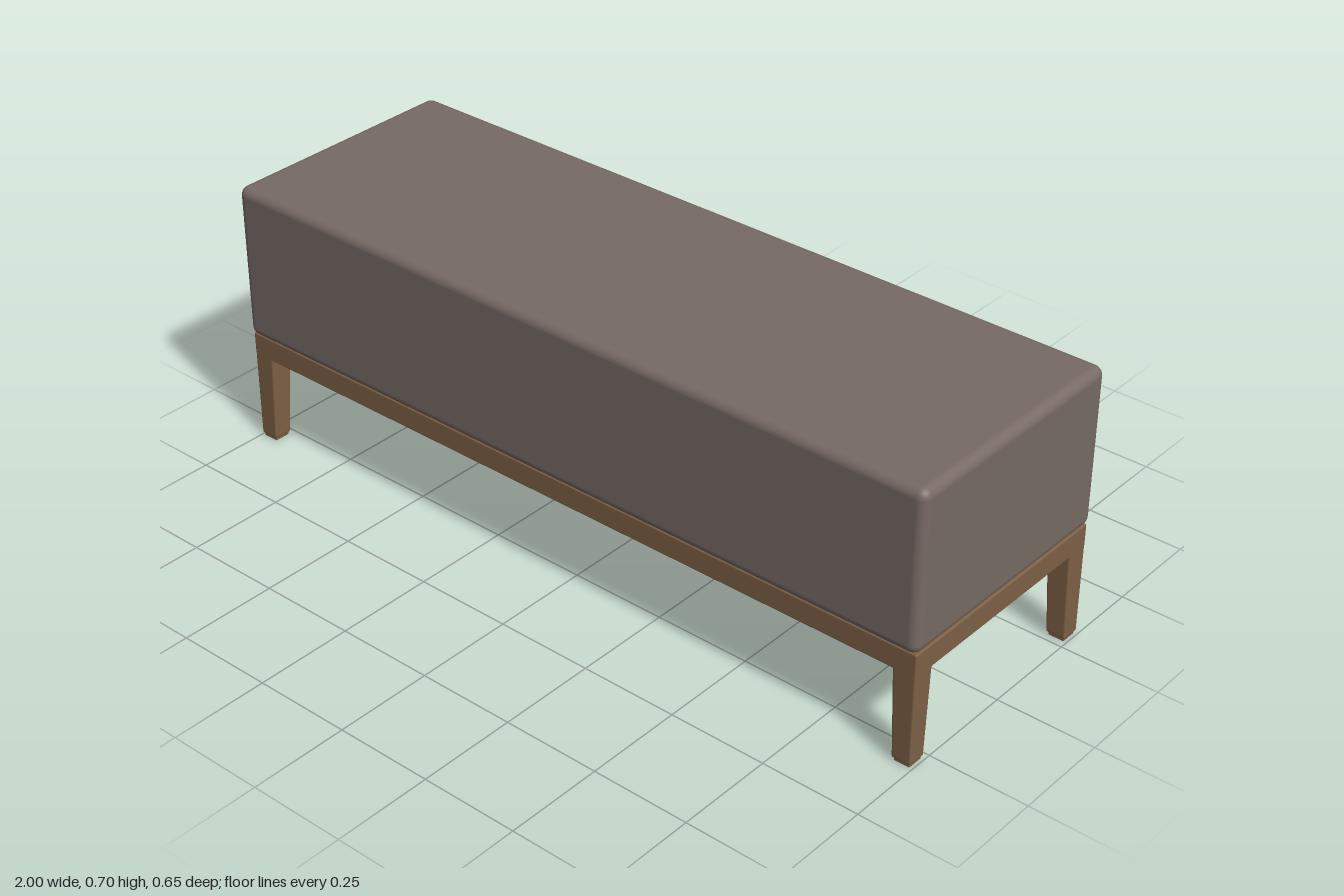
import * as THREE from 'three';
import { RoundedBoxGeometry } from 'three/addons/geometries/RoundedBoxGeometry.js';

const fabric = new THREE.MeshStandardMaterial({ name: 'taupe fabric', color: 0x776a64 });
const wood = new THREE.MeshStandardMaterial({ name: 'brown wood', color: 0x7d6045 });

const FRAME_X = 0.996, FRAME_Z = 0.315; // outer half sizes of the wooden base

function add(parent, name, geometry, material, x, y, z) {
  const mesh = new THREE.Mesh(geometry, material);
  mesh.name = name;
  mesh.position.set(x, y, z);
  parent.add(mesh);
  return mesh;
}

// Upholstered block whose sides swell very slightly towards the middle
function cushionGeometry() {
  const geometry = new RoundedBoxGeometry(2, 0.405, 0.65, 5, 0.024);
  return geometry;
}

// Leg with straight outer faces (+x, +z) and inner faces tapering to the floor
function legGeometry(sx, sz) {
  const height = 0.24, top = 0.06, bottom = 0.049;
  const geometry = new RoundedBoxGeometry(top, height, top, 3, 0.005);
  const p = geometry.attributes.position;
  for (let i = 0; i < p.count; i++) {
    const t = p.getY(i) / height + 0.5;
    const scale = THREE.MathUtils.lerp(bottom / top, 1, t);
    const taper = (v, s) => s * (top / 2 - (top / 2 - v * s) * scale);
    p.setX(i, taper(p.getX(i), sx));
    p.setZ(i, taper(p.getZ(i), sz));
  }
  geometry.computeBoundingSphere();
  return geometry;
}

export function createModel() {
  const bench = new THREE.Group();
  bench.name = 'bench';

  add(bench, 'cushion', cushionGeometry(), fabric, 0, 0.4975, 0);

  // Solid base under the cushion
  const frame = new RoundedBoxGeometry(FRAME_X * 2, 0.06, FRAME_Z * 2, 3, 0.004);
  add(bench, 'frame', frame, wood, 0, 0.267, 0);

  // Four corner legs, each on a small inset foot pad
  for (const sx of [-1, 1]) {
    for (const sz of [-1, 1]) {
      const leg = new THREE.Group();
      leg.name = `${sz > 0 ? 'front' : 'back'}${sx > 0 ? 'Left' : 'Right'}Leg`;
      bench.add(leg);
      add(leg, 'legPost', legGeometry(sx, sz), wood,
        sx * (FRAME_X - 0.03), 0.128, sz * (FRAME_Z - 0.03));
      add(leg, 'footPad', new THREE.BoxGeometry(0.04, 0.012, 0.04), wood,
        sx * (FRAME_X - 0.0245), 0.006, sz * (FRAME_Z - 0.0245));
    }
  }
  return bench;
}
